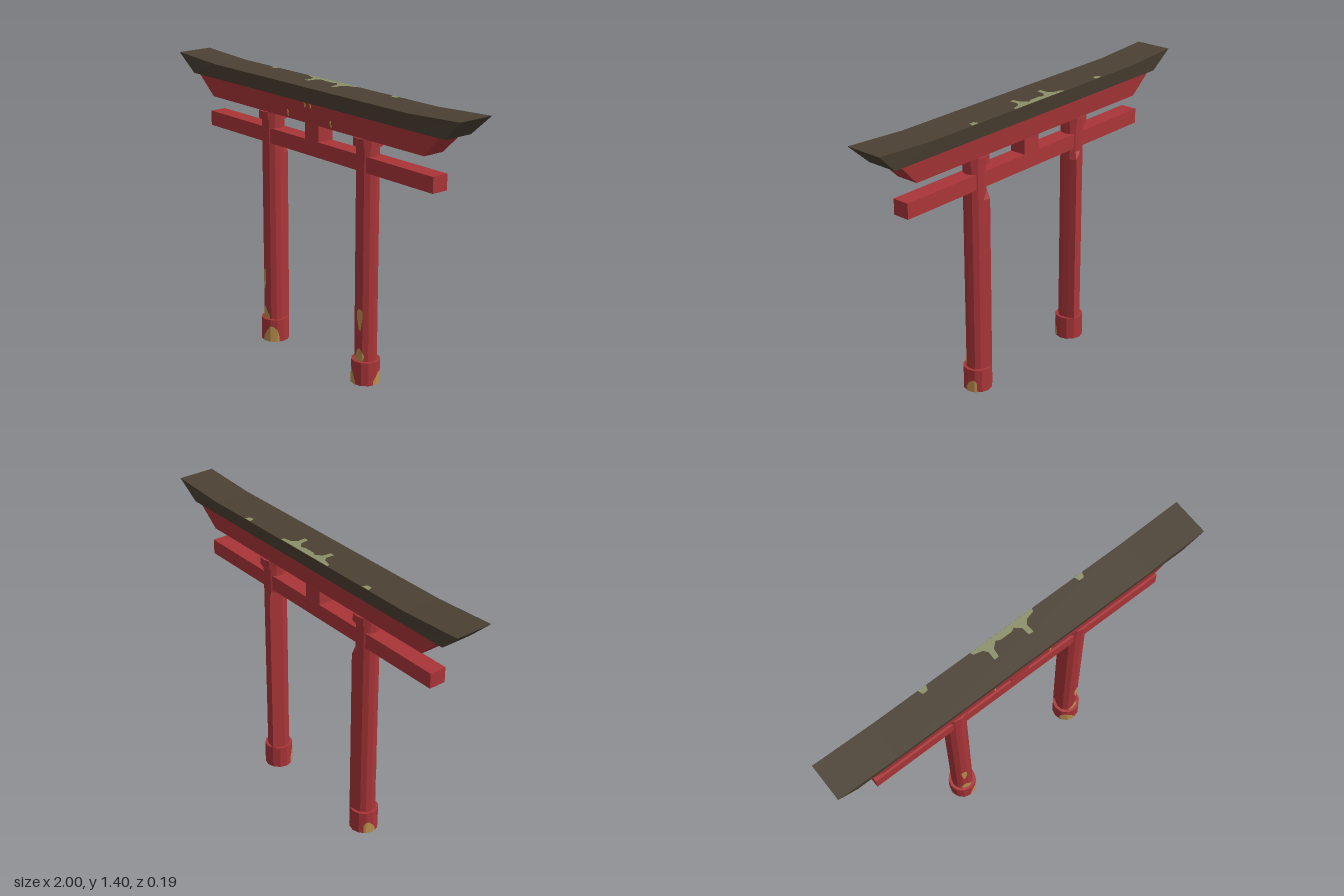
import * as THREE from 'three';

const mat = (name, color, side = THREE.FrontSide) => {
  const m = new THREE.MeshStandardMaterial({ color, side });
  m.name = name;
  return m;
};

// Split vertices so every facet gets its own normal
function faceted(geo) {
  const g = geo.index ? geo.toNonIndexed() : geo;
  g.computeVertexNormals();
  return g;
}

// Beam along x; each section is [topX, topY, topHalfDepth, bottomX, bottomY, bottomHalfDepth]
function loftBeam(sections) {
  const pos = [], idx = [];
  for (const [tx, ty, tz, bx, by, bz] of sections) {
    pos.push(tx, ty, tz, tx, ty, -tz, bx, by, -bz, bx, by, bz);
  }
  const quad = (a, b, c, d) => idx.push(a, b, c, a, c, d);
  const last = (sections.length - 1) * 4;
  for (let i = 0; i < last; i += 4) {
    for (let j = 0; j < 4; j++) {
      const k = (j + 1) % 4;
      quad(i + j, i + 4 + j, i + 4 + k, i + k);
    }
  }
  quad(0, 1, 2, 3);
  quad(last + 3, last + 2, last + 1, last);
  const g = new THREE.BufferGeometry();
  g.setAttribute('position', new THREE.Float32BufferAttribute(pos, 3));
  g.setIndex(idx);
  return faceted(g);
}

const SIDES = 12;

// Thin patch hugging a faceted column; columns are [angle in degrees, bottom, top], 0 = front
function wrapPatch(radius, columns, mirror) {
  const pos = [], idx = [];
  const step = 360 / SIDES;
  columns.forEach(([deg, y0, y1], i) => {
    const local = (((deg % step) + step) % step) - step / 2;
    const r = radius * Math.cos(Math.PI / SIDES) / Math.cos(THREE.MathUtils.degToRad(local)) + 0.0015;
    const a = THREE.MathUtils.degToRad(deg) * mirror;
    pos.push(r * Math.sin(a), y0, r * Math.cos(a), r * Math.sin(a), y1, r * Math.cos(a));
    if (i) {
      const k = i * 2;
      if (mirror > 0) idx.push(k - 2, k, k + 1, k - 2, k + 1, k - 1);
      else idx.push(k - 2, k + 1, k, k - 2, k - 1, k + 1);
    }
  });
  const g = new THREE.BufferGeometry();
  g.setAttribute('position', new THREE.Float32BufferAttribute(pos, 3));
  g.setIndex(idx);
  return faceted(g);
}

// Pillar shaft with a bulge on its inner back edge that ends below the tie beam
function shaftGeometry(mirror) {
  const g = new THREE.CylinderGeometry(0.055, 0.055, 1, SIDES, 3);
  const p = g.attributes.position;
  const rows = [0.02, 0.99, 1.03, 1.2];
  for (let i = 0; i < p.count; i++) {
    const row = Math.round((p.getY(i) + 0.5) * 3);
    const x = p.getX(i), z = p.getZ(i);
    const corner = z < -0.04 && x * mirror < -0.02 && z > -0.05;
    const s = corner && row < 2 ? 1.3 : 1;
    p.setXYZ(i, x * s, rows[row], z * s);
  }
  return faceted(g);
}

export function createModel() {
  const red = mat('red paint', 0xa93538);
  const dark = mat('dark roof', 0x4b4133);
  const moss = mat('moss', 0x8b9068, THREE.DoubleSide);
  const wood = mat('bare wood', 0xbb9150, THREE.DoubleSide);

  const model = new THREE.Group();
  model.name = 'gate';
  const add = (parent, name, geo, material, x = 0, y = 0, z = 0) => {
    const m = new THREE.Mesh(geo, material);
    m.name = name;
    m.position.set(x, y, z);
    parent.add(m);
    return m;
  };

  // Roof beam with upswept ends
  add(model, 'roofBeam', loftBeam([
    [-1, 1.402, 0.094, -0.9, 1.307, 0.077],
    [-0.69, 1.385, 0.094, -0.69, 1.307, 0.077],
    [0.69, 1.385, 0.094, 0.69, 1.307, 0.077],
    [1, 1.402, 0.094, 0.9, 1.307, 0.077],
  ]), dark);

  // Flared beam under the roof
  add(model, 'upperBeam', loftBeam([
    [-0.86, 1.308, 0.07, -0.76, 1.205, 0.057],
    [0.86, 1.308, 0.07, 0.76, 1.205, 0.057],
  ]), red);

  // Tie beam and centre strut
  add(model, 'tieBeam', new THREE.BoxGeometry(1.61, 0.075, 0.085), red, 0, 1.083, 0);
  add(model, 'centreStrut', new THREE.BoxGeometry(0.1, 0.1, 0.084), red, 0, 1.165, 0);

  // Pillars, mirrored left and right
  for (const side of [-1, 1]) {
    const pillar = new THREE.Group();
    pillar.name = side > 0 ? 'leftPillar' : 'rightPillar';
    pillar.position.x = side * 0.346;
    model.add(pillar);
    add(pillar, 'shaft', shaftGeometry(side), red);
    add(pillar, 'baseCollar', faceted(new THREE.CylinderGeometry(0.07, 0.07, 0.118, SIDES)),
      [red, red, dark], 0, 0.059, 0);
    add(pillar, 'topCollar', faceted(new THREE.CylinderGeometry(0.07, 0.07, 0.04, SIDES)), red, 0, 1.184, 0);

    // Worn paint: angles grow towards the outer side
    const worn = [
      [0.055, [[0, 0.33, 0.37], [10, 0.28, 0.385], [20, 0.27, 0.38], [30, 0.34, 0.375]]],
      [0.055, [[-22, 0.118, 0.135], [-10, 0.118, 0.15], [0, 0.118, 0.175], [15, 0.118, 0.185], [30, 0.118, 0.165], [40, 0.14, 0.15]]],
      [0.07, [[-68, 0, 0.03], [-60, 0, 0.065], [-45, 0, 0.08], [-30, 0, 0.085], [-15, 0, 0.06], [0, 0, 0.03], [6, 0, 0.005]]],
      [0.07, [[80, 0, 0.02], [90, 0, 0.04], [105, 0, 0.06], [120, 0, 0.065], [130, 0, 0.045]]],
    ];
    for (const [r, columns] of worn) add(pillar, 'wornPatch', wrapPatch(r, columns, side), wood);

    // Small chips on the upper beam
    for (const [x, y, h] of [[0.155, 1.232, 0.03], [0.02, 1.293, 0.025]]) {
      const z = 0.057 + (y - 1.205) * 0.126;
      add(model, 'beamChip', new THREE.BoxGeometry(0.009, h, 0.003), wood, side * x, y, z).rotation.x = 0.126;
    }
  }

  // Moss along the back edge of the roof
  const half = [[0.17, 0.093], [0.165, 0.078], [0.12, 0.066], [0.105, 0.045], [0.107, 0.003],
    [0.083, 0.003], [0.078, 0.045], [0.05, 0.07], [0.03, 0.06]];
  const outline = [...half, ...half.map(([x, y]) => [-x, y]).reverse()];
  const blobs = [outline, ...[-0.43, 0.43].map((x) =>
    [[x - 0.022, 0.093], [x - 0.013, 0.068], [x + 0.013, 0.068], [x + 0.022, 0.093]])];
  for (const pts of blobs) {
    const shape = new THREE.Shape(pts.map(([x, y]) => new THREE.Vector2(x, y)));
    add(model, 'mossPatch', new THREE.ShapeGeometry(shape).rotateX(-Math.PI / 2), moss, 0, 1.387, 0);
  }
  return model;
}
